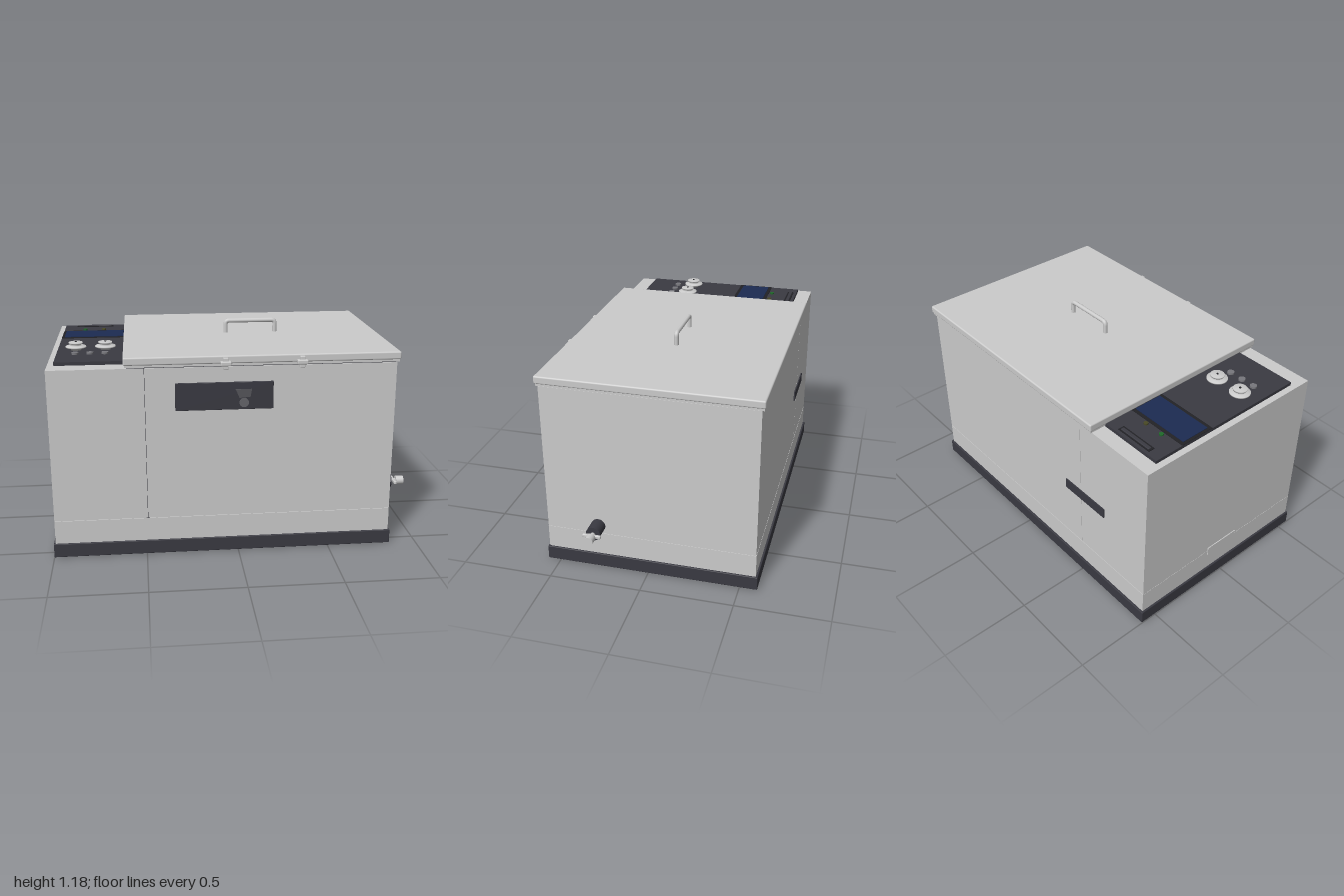
import * as THREE from 'three';
import { RoundedBoxGeometry } from 'three/addons/geometries/RoundedBoxGeometry.js';

const mat = (color) => new THREE.MeshStandardMaterial({ color });

export function createModel() {
  const model = new THREE.Group();
  const steel = mat(0xcccccc), dark = mat(0x3a3a42), black = mat(0x222226);
  const blue = mat(0x1c2b52), green = mat(0x1f6a2a), olive = mat(0x4a4a26);

  const add = (name, geometry, material, x = 0, y = 0, z = 0, parent = model) => {
    const mesh = new THREE.Mesh(geometry, material);
    mesh.name = name;
    mesh.position.set(x, y, z);
    parent.add(mesh);
    return mesh;
  };
  // Box given by its limits on each axis; r rounds the edges
  const box = (name, material, [x0, x1], [y0, y1], [z0, z1], r = 0, parent = model) => {
    const s = [x1 - x0, y1 - y0, z1 - z0];
    const g = r ? new RoundedBoxGeometry(...s, 3, r) : new THREE.BoxGeometry(...s);
    return add(name, g, material, (x0 + x1) / 2, (y0 + y1) / 2, (z0 + z1) / 2, parent);
  };
  const disc = (name, material, r, h, x, y, z, parent = model) =>
    add(name, new THREE.CylinderGeometry(r, r, h, 32), material, x, y, z, parent);
  const group = (name) => {
    const g = new THREE.Group();
    g.name = name;
    model.add(g);
    return g;
  };

  // Base, plinth and housing
  box('base', dark, [-1, 0.85], [0.003, 0.08], [-0.595, 0.57], 0.004);
  box('plinth', steel, [-0.99, 0.84], [0.08, 0.208], [-0.584, 0.561]);
  box('controlTower', steel, [-0.99, -0.491], [0.21, 1.04], [-0.583, 0.56]);
  box('tank', steel, [-0.489, 0.84], [0.21, 1.04], [-0.583, 0.56]);
  box('housingSeam', dark, [-0.5, -0.48], [0.2, 1.039], [-0.581, 0.558]);
  for (const x of [-0.85, 0.67]) for (const z of [-0.43, 0.42]) {
    disc('foot', black, 0.042, 0.01, x, 0.005, z);
  }

  // Lid with its gasket and stepped lip
  box('gasket', dark, [-0.58, 0.835], [1.04, 1.05], [-0.58, 0.555]);
  box('lidLip', steel, [-0.59, 0.85], [1.046, 1.062], [-0.595, 0.568]);
  box('lid', steel, [-0.597, 0.857], [1.058, 1.1], [-0.602, 0.575], 0.008);

  // Lid handle: round bar with tight bends
  const handlePath = new THREE.CurvePath();
  const v = (x, y) => new THREE.Vector3(x, y, -0.01);
  const r = 0.02, hx0 = -0.012, hx1 = 0.272, top = 1.167;
  handlePath.add(new THREE.LineCurve3(v(hx0, 1.09), v(hx0, top - r)));
  handlePath.add(new THREE.QuadraticBezierCurve3(v(hx0, top - r), v(hx0, top), v(hx0 + r, top)));
  handlePath.add(new THREE.LineCurve3(v(hx0 + r, top), v(hx1 - r, top)));
  handlePath.add(new THREE.QuadraticBezierCurve3(v(hx1 - r, top), v(hx1, top), v(hx1, top - r)));
  handlePath.add(new THREE.LineCurve3(v(hx1, top - r), v(hx1, 1.09)));
  add('lidHandle', new THREE.TubeGeometry(handlePath, 120, 0.0125, 16), steel);

  // Lid latches on the front edge
  for (const x of [-0.07, 0.33]) {
    const latch = group('latch');
    box('latchBar', steel, [x - 0.014, x + 0.014], [1.03, 1.092], [0.565, 0.59], 0.005, latch);
    box('latchCross', steel, [x - 0.028, x + 0.028], [1.05, 1.074], [0.57, 0.602], 0.006, latch);
  }

  // Control panel on top of the tower
  const panel = group('controlPanel');
  box('panelPlate', dark, [-0.955, -0.585], [1.04, 1.058], [-0.5, 0.46], 0, panel);
  box('screenFrame', black, [-0.955, -0.59], [1.057, 1.06], [-0.33, -0.125], 0, panel);
  box('screen', blue, [-0.94, -0.6], [1.058, 1.063], [-0.31, -0.145], 0, panel);
  box('cardSlot', black, [-0.885, -0.665], [1.055, 1.061], [-0.482, -0.445], 0, panel);
  box('cardSlotBar', dark, [-0.875, -0.675], [1.058, 1.066], [-0.475, -0.455], 0.003, panel);
  disc('greenLamp', green, 0.012, 0.01, -0.83, 1.061, -0.35, panel);
  disc('amberLamp', olive, 0.012, 0.01, -0.72, 1.061, -0.35, panel);
  for (const x of [-0.855, -0.775, -0.695]) {
    disc('pushButton', mat(0x77777c), 0.019, 0.012, x, 1.062, 0.28, panel);
  }

  // Turned knobs with a flange, waist and flat cap
  const knobProfile = [[0, 0], [0.028, 0], [0.03, 0.012], [0.056, 0.016], [0.056, 0.022],
    [0.034, 0.026], [0.024, 0.032], [0.038, 0.037], [0.038, 0.044], [0, 0.046]]
    .map(([a, b]) => new THREE.Vector2(a, b));
  for (const x of [-0.855, -0.695]) {
    add('knob', new THREE.LatheGeometry(knobProfile, 32), steel, x, 1.057, 0.175, panel);
    disc('knobCentre', black, 0.006, 0.002, x, 1.104, 0.175, panel);
  }

  // Front plate with a tapered latch and round button
  const front = group('frontPlate');
  box('plate', dark, [-0.333, 0.182], [0.81, 0.957], [0.555, 0.572], 0.002, front);
  const catchShape = new THREE.Shape();
  [[-0.018, 0.92], [0.068, 0.92], [0.06, 0.878], [0.002, 0.873]]
    .forEach(([x, y], i) => (i ? catchShape.lineTo(x, y) : catchShape.moveTo(x, y)));
  add('plateCatch', new THREE.ExtrudeGeometry(catchShape, { depth: 0.005, bevelEnabled: false }),
    mat(0x55555a), 0, 0, 0.571, front);
  disc('plateButton', mat(0x66666b), 0.025, 0.006, 0.027, 0.847, 0.573, front).rotation.x = Math.PI / 2;

  // Rear vent and plate on the tower side
  box('rearVent', dark, [-0.68, -0.37], [0.535, 0.592], [-0.59, -0.58]);
  box('sidePlate', steel, [-0.995, -0.985], [0.18, 0.232], [-0.11, 0.1]);

  // Drain tap, built along +x
  const drain = group('drainTap');
  const turned = (name, material, radius, x0, x1) => {
    disc(name, material, radius, x1 - x0, (x0 + x1) / 2, 0.257, 0.273, drain).rotation.z = Math.PI / 2;
  };
  turned('drainCollar', dark, 0.039, 0.83, 0.925);
  turned('drainStem', steel, 0.01, 0.92, 0.97);
  turned('drainKnob', steel, 0.025, 0.957, 1);
  box('drainLever', steel, [0.937, 0.954], [0.248, 0.266], [0.223, 0.323], 0.005, drain);

  return model;
}
